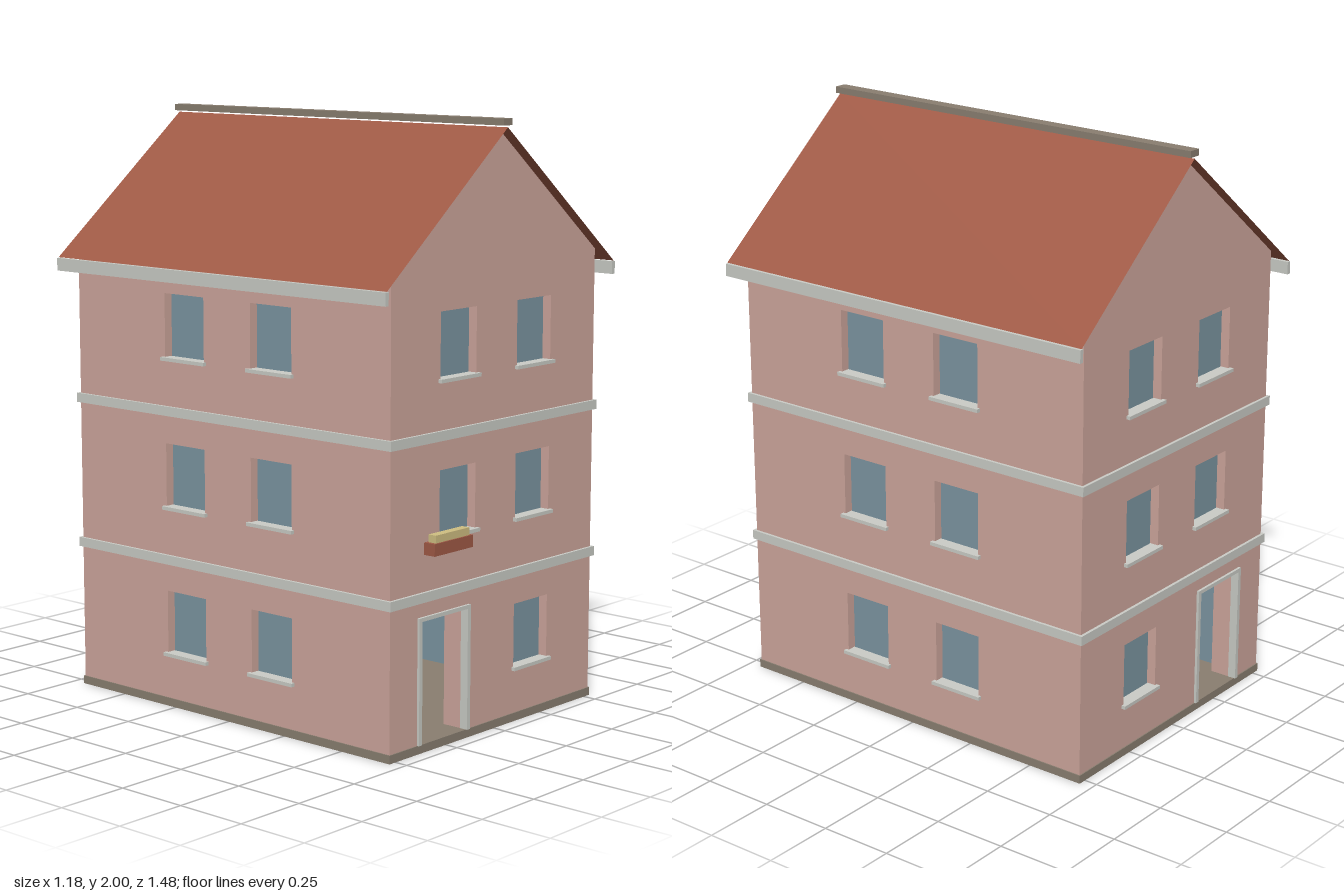
import * as THREE from 'three';

const mat = (name, color, side = THREE.FrontSide) => {
  const m = new THREE.MeshStandardMaterial({ color, side });
  m.name = name;
  return m;
};

export function createModel() {
  const house = new THREE.Group();
  house.name = 'house';
  const plaster = mat('pinkPlaster', 0xcfa79d);
  const trim = mat('paleTrim', 0xcbcdc7);
  const stone = mat('greyStone', 0x8a7f71);
  const tile = mat('redTile', 0xa05a46, THREE.DoubleSide);
  const glass = mat('blueGlass', 0x7c96a2);
  const cream = mat('yellowPaint', 0xd0bf82);

  const W = 0.525, D = 0.70, T = 0.09;       // half width, half depth, wall thickness
  const EAVE = 1.545, APEX = 1.965, BASE = 0.028;
  const WIN = 0.18;                          // window width
  const floors = [[0.185, 0.40], [0.69, 0.905], [1.195, 1.41]];
  const door = { x: -0.262, half: 0.115, top: 0.433 };

  // Box given by its low and high corners
  const box = (parent, name, m, [x0, y0, z0], [x1, y1, z1]) => {
    const mesh = new THREE.Mesh(new THREE.BoxGeometry(x1 - x0, y1 - y0, z1 - z0), m);
    mesh.position.set((x0 + x1) / 2, (y0 + y1) / 2, (z0 + z1) / 2);
    mesh.name = name;
    parent.add(mesh);
    return mesh;
  };
  const poly = (pts) => pts.map(([x, y]) => new THREE.Vector2(x, y));

  // A wall whose outer face is local z = 0, with window holes, panes and sills
  const makeWall = (name, outline, windows) => {
    const wall = new THREE.Group();
    wall.name = name;
    const shape = new THREE.Shape(poly(outline));
    for (const [x, y0, y1] of windows) {
      const a = x - WIN / 2, b = x + WIN / 2;
      shape.holes.push(new THREE.Path(poly([[a, y0], [a, y1], [b, y1], [b, y0]])));
      box(wall, 'windowPane', glass, [a, y0, -0.04], [b, y1, -0.032]);
      box(wall, 'windowSill', trim, [a - 0.01, y0 - 0.01, -0.03], [b + 0.01, y0 + 0.002, 0.014]);
    }
    const geo = new THREE.ExtrudeGeometry(shape, { depth: T, bevelEnabled: false });
    geo.translate(0, 0, -T);
    const body = new THREE.Mesh(geo, plaster);
    body.name = name + 'Body';
    wall.add(body);
    house.add(wall);
    return wall;
  };

  // Gable walls, each with a doorway on the same side of the house
  for (const s of [1, -1]) {
    const dx = s * door.x, l = dx - door.half, r = dx + door.half;
    const windows = [];
    floors.forEach(([y0, y1], i) => {
      for (const x of [-0.195, 0.195]) {
        if (i > 0 || x * dx < 0) windows.push([x, y0, y1]);
      }
    });
    const gable = makeWall(s > 0 ? 'frontWall' : 'backWall', [
      [-W, BASE], [l, BASE], [l, door.top], [r, door.top], [r, BASE],
      [W, BASE], [W, EAVE], [0, APEX], [-W, EAVE],
    ], windows);
    gable.position.z = s * D;
    if (s < 0) gable.rotation.y = Math.PI;

    // Door surround
    const w = 0.014;
    box(gable, 'doorJamb', trim, [l - w, BASE, -0.02], [l + 0.001, door.top, 0.009]);
    box(gable, 'doorJamb', trim, [r - 0.001, BASE, -0.02], [r + w, door.top, 0.009]);
    box(gable, 'doorLintel', trim, [l - w, door.top - 0.001, -0.02], [r + w, 0.445, 0.009]);
  }

  // Side walls, with painted inner faces
  for (const s of [1, -1]) {
    const L = D - T;
    const windows = floors.flatMap(([y0, y1]) => [-0.195, 0.195].map((z) => [z, y0, y1]));
    const side = makeWall(s > 0 ? 'leftWall' : 'rightWall',
      [[-L, BASE], [L, BASE], [L, EAVE], [-L, EAVE]], windows);
    side.position.x = s * W;
    side.rotation.y = s * Math.PI / 2;
    box(side, 'innerWallPaint', glass, [-L, BASE, -T - 0.006], [L, 0.49, -T]);
  }

  // Ground slab and upper floors
  box(house, 'groundSlab', stone, [-W - 0.004, 0, -D - 0.004], [W + 0.004, BASE, D + 0.004]);
  for (const y of [0.49, 1.0]) {
    box(house, 'floorSlab', stone, [-W + T, y, -D + T], [W - T, y + 0.03, D - T]);
  }

  // Partition with a doorway across the ground floor
  const px = W - T - 0.006;
  const partition = new THREE.Mesh(new THREE.ExtrudeGeometry(new THREE.Shape(poly([
    [-px, BASE], [-0.354, BASE], [-0.354, 0.407], [-0.174, 0.407], [-0.174, BASE],
    [px, BASE], [px, 0.49], [-px, 0.49],
  ])), { depth: 0.03, bevelEnabled: false }), cream);
  partition.position.z = -0.155;
  partition.name = 'partition';
  house.add(partition);

  // String courses around the outside
  for (const [y0, y1] of [[0.493, 0.525], [1.0, 1.032]]) {
    const o = 0.01;
    for (const s of [1, -1]) {
      const zs = [s * D, s * (D + o)].sort((a, b) => a - b);
      const xs = [s * W, s * (W + o)].sort((a, b) => a - b);
      box(house, 'stringCourse', trim, [-W - o, y0, zs[0]], [W + o, y1, zs[1]]);
      box(house, 'stringCourse', trim, [xs[0], y0, -D], [xs[1], y1, D]);
    }
  }

  // Thin roof slopes, gutters and ridge cap
  const RZ = 0.735, RX = 0.585, RY = 1.502, TOP = 1.972;
  for (const s of [1, -1]) {
    const slope = new THREE.Mesh(new THREE.PlaneGeometry(Math.hypot(RX, TOP - RY), RZ * 2), tile);
    slope.rotation.order = 'ZXY';
    slope.rotation.set(-Math.PI / 2, 0, -s * Math.atan2(TOP - RY, RX));
    slope.position.set(s * RX / 2, (RY + TOP) / 2, 0);
    slope.name = 'roofSlope';
    house.add(slope);
    const gutter = box(house, 'gutter', trim, [0.577, 1.457, -RZ], [0.592, 1.5, RZ]);
    gutter.position.x *= s;
  }
  box(house, 'ridgeCap', stone, [-0.022, 1.978, -RZ], [0.022, 2, RZ]);

  // Flower box under a front window
  box(house, 'flowerBox', tile, [-0.36, 0.645, D], [-0.168, 0.685, D + 0.043]);
  box(house, 'flowers', cream, [-0.348, 0.685, D + 0.007], [-0.18, 0.71, D + 0.037]);

  return house;
}
